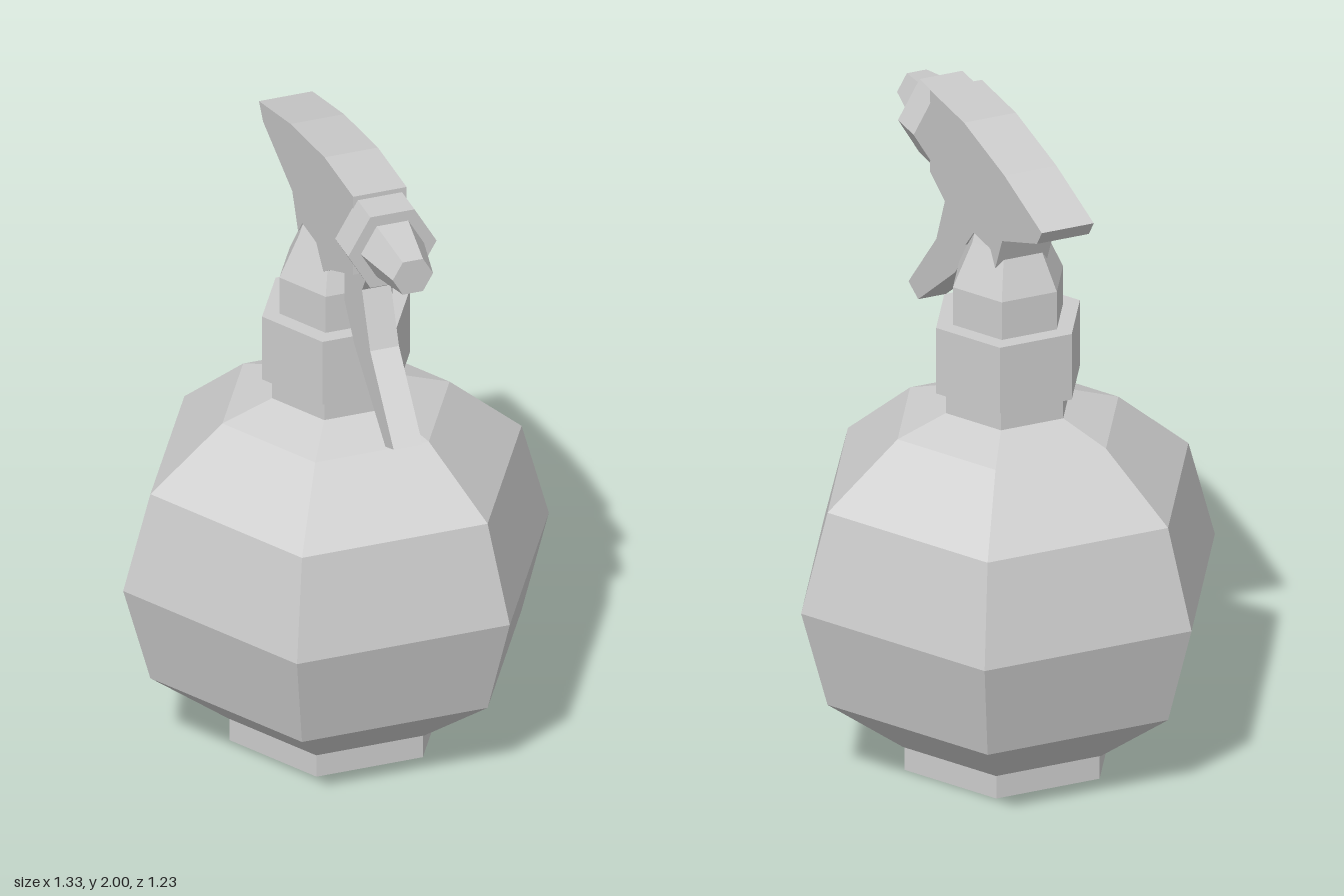
import * as THREE from 'three';

const plastic = new THREE.MeshStandardMaterial({ color: 0xcccccc, flatShading: true });
plastic.name = 'light grey plastic';

const AXIS_Z = -0.04; // the bottle axis sits slightly behind the middle

function addPart(group, name, geometry) {
  const mesh = new THREE.Mesh(geometry, plastic);
  mesh.name = name;
  group.add(mesh);
  return mesh;
}

// six-sided turned solid with corners on +x and -x; profile is [radius, height] upwards
function hexLathe(profile) {
  const points = profile.map(([r, y]) => new THREE.Vector2(r, y));
  return new THREE.LatheGeometry(points, 6, Math.PI / 6);
}

// side outline in [z, y], extruded symmetrically across x
function sidePlate(outline, width) {
  const shape = new THREE.Shape(outline.map(([z, y]) => new THREE.Vector2(z, y)));
  return new THREE.ExtrudeGeometry(shape, { depth: width, bevelEnabled: false })
    .translate(0, 0, -width / 2)
    .rotateY(-Math.PI / 2);
}

export function createModel() {
  const group = new THREE.Group();
  group.name = 'sprayBottle';

  // round bottle with foot and neck, then the screw collar and pump stem
  const turned = {
    bottle: [[0, 0], [0.332, 0], [0.332, 0.075], [0.338, 0.076], [0.58, 0.26], [0.665, 0.573],
      [0.58, 0.885], [0.355, 1.08], [0.2, 1.135], [0.2, 1.21], [0, 1.21]],
    collar: [[0, 1.205], [0.231, 1.205], [0.231, 1.418], [0, 1.418]],
    pumpStem: [[0, 1.41], [0.177, 1.41], [0.177, 1.54], [0.115, 1.673], [0, 1.673]],
  };
  for (const [name, profile] of Object.entries(turned)) {
    addPart(group, name, hexLathe(profile)).position.z = AXIS_Z;
  }

  // spray head with a pointed tail
  addPart(group, 'sprayHead', sidePlate([
    [0.335, 2], [0.09, 2], [-0.2, 1.955], [-0.47, 1.885], [-0.435, 1.835], [-0.185, 1.735],
    [-0.135, 1.625], [-0.1, 1.672], [0.02, 1.672], [0.08, 1.607], [0.14, 1.645], [0.335, 1.735],
  ], 0.167));

  // curved trigger
  addPart(group, 'trigger', sidePlate([
    [0.345, 1.725], [0.305, 1.66], [0.375, 1.49], [0.575, 1.265], [0.505, 1.237],
    [0.24, 1.44], [0.155, 1.545], [0.155, 1.68],
  ], 0.09));

  // nozzle ring and tapered tip, turned to point forward
  const nozzle = {
    nozzleRing: [[0, 0.33], [0.138, 0.33], [0.138, 0.442], [0, 0.442]],
    nozzleTip: [[0, 0.43], [0.099, 0.44], [0.063, 0.617], [0, 0.617]],
  };
  for (const [name, profile] of Object.entries(nozzle)) {
    addPart(group, name, hexLathe(profile).rotateX(Math.PI / 2)).position.y = 1.866;
  }

  return group;
}
